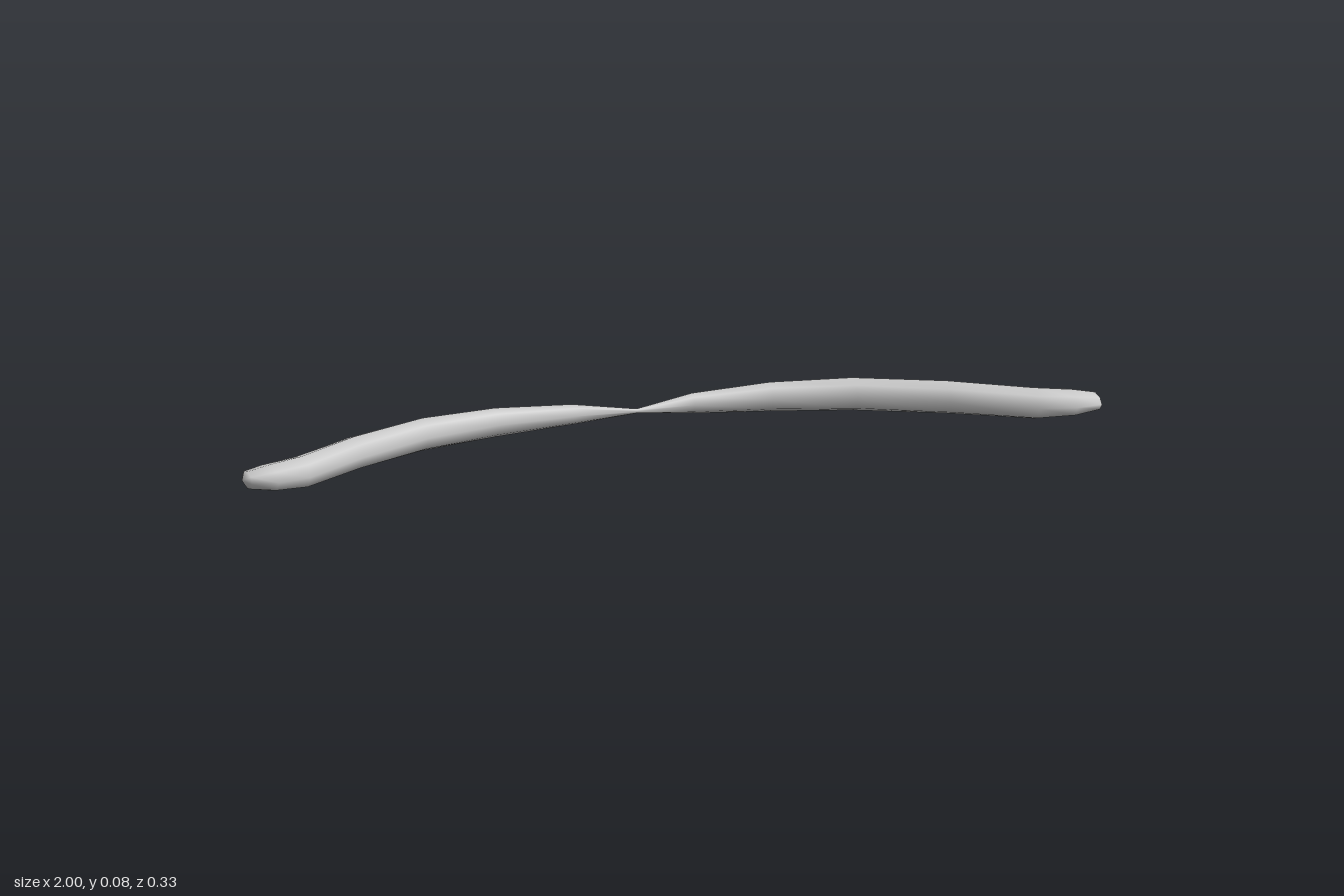
import * as THREE from 'three';

const SIDES = 8;

// Half of the bar, centre to tip: [back x, back z, front x, front z, middle y, half height]
const HALF = [
  [0.00, -0.115, 0.00, -0.105, 0.046, 0.005],
  [0.14, -0.160, 0.14, -0.122, 0.043, 0.023],
  [0.32, -0.165, 0.32, -0.112, 0.042, 0.033],
  [0.50, -0.145, 0.50, -0.068, 0.040, 0.037],
  [0.695, -0.064, 0.685, 0.028, 0.038, 0.037],
  [0.855, 0.037, 0.85, 0.142, 0.037, 0.035],
  [0.94, 0.060, 0.93, 0.161, 0.037, 0.029],
  [0.985, 0.075, 0.99, 0.153, 0.037, 0.019],
];

// Skin a run of oval cross-sections and close both ends
function loft(sections) {
  const positions = [];
  const index = [];
  for (const [bx, bz, fx, fz, y, h] of sections) {
    for (let j = 0; j < SIDES; j++) {
      const a = (j / SIDES) * Math.PI * 2;
      const t = (1 + Math.cos(a)) / 2;
      positions.push(bx + (fx - bx) * t, y + h * Math.sin(a), bz + (fz - bz) * t);
    }
  }
  const last = sections.length - 1;
  for (let i = 0; i < last; i++) {
    for (let j = 0; j < SIDES; j++) {
      const k = (j + 1) % SIDES;
      const a = i * SIDES + j, c = i * SIDES + k;
      index.push(a, a + SIDES, c, a + SIDES, c + SIDES, c);
    }
  }
  // Slightly domed end caps
  for (const [ring, x] of [[0, -1], [last, 1]]) {
    const [, bz, , fz, y] = sections[ring];
    const centre = positions.length / 3;
    positions.push(x, y, (bz + fz) / 2);
    for (let j = 0; j < SIDES; j++) {
      const p = ring * SIDES + j, q = ring * SIDES + (j + 1) % SIDES;
      if (x > 0) index.push(centre, q, p);
      else index.push(centre, p, q);
    }
  }
  const geometry = new THREE.BufferGeometry();
  geometry.setAttribute('position', new THREE.Float32BufferAttribute(positions, 3));
  geometry.setIndex(index);
  geometry.computeVertexNormals();
  return geometry;
}

export function createModel() {
  const group = new THREE.Group();
  group.name = 'curvedBar';

  // Mirror the half sections so both wings meet at the pinched centre
  const mirrored = HALF.slice(1).reverse()
    .map(([bx, bz, fx, fz, y, h]) => [-bx, bz, -fx, fz, y, h]);
  const material = new THREE.MeshStandardMaterial({ color: 0xcccccc });
  const bar = new THREE.Mesh(loft([...mirrored, ...HALF]), material);
  bar.name = 'pinchedBar';
  group.add(bar);
  return group;
}
